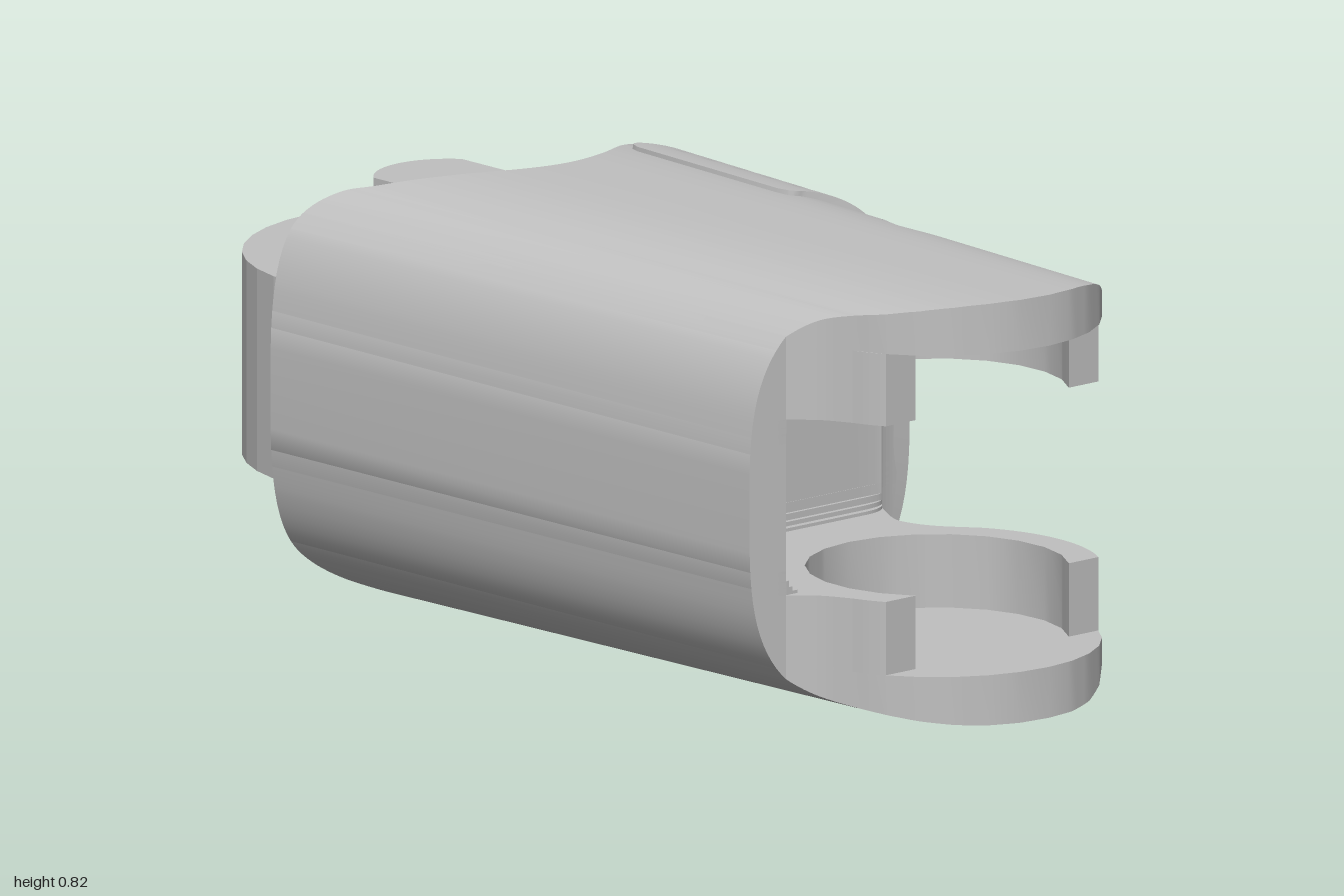
import * as THREE from 'three';
import { toCreasedNormals } from 'three/addons/utils/BufferGeometryUtils.js';

const MID = 0.41, POW = 3.3, LEFT = 0.44;
const rightHalf = z => 0.375 + 0.085 * (0.18 - z);      // right half-width tapers to the front
const halfHeight = z => 0.408 - 0.01 * (z + 0.3);       // and so, slightly, does the height
const toU = (x, z) => x < 0 ? Math.max(-1, x / LEFT) : Math.min(1, x / rightHalf(z));
const toX = (u, z) => u < 0 ? u * LEFT : u * rightHalf(z);
const rise = (u, z) => halfHeight(z) * Math.pow(Math.max(0, 1 - Math.pow(Math.abs(u), POW)), 1 / POW);
const v2 = list => list.map(([x, y]) => new THREE.Vector2(x, y));

function finish(positions) {
  const geo = new THREE.BufferGeometry();
  geo.setAttribute('position', new THREE.Float32BufferAttribute(positions, 3));
  return toCreasedNormals(geo, 0.5);
}

// Plan outline (x, z) of the housing at one level: 'skin', 'ring' or 'core'.
// In the core, inset narrows the slot to round its edges.
function plan(level, inset = 0) {
  const p = new THREE.Path();
  p.moveTo(-0.44, -0.62);
  p.splineThru(v2([[-0.38, -0.615], [-0.32, -0.56], [-0.28, -0.49], [-0.2, -0.4], [-0.1, -0.33], [0, -0.305],
    [0.1, -0.32], [0.2, -0.37], [0.27, -0.395], [0.34, -0.355], [0.43, -0.28]]));
  p.lineTo(0.42, 0.178);
  const neck = [[0.36, 0.18], [0.31, 0.195], [0.26, 0.24], [0.225, 0.3]];
  if (level === 'core') {
    const z = 0.297 + inset, x = -0.36 + inset;
    p.splineThru(v2(neck));
    p.quadraticCurveTo(0.21, z, 0.16, z);
    p.lineTo(x + 0.05, z);
    p.quadraticCurveTo(x, z, x, z + 0.05);
    p.lineTo(x, 0.69);
    p.lineTo(-0.36, 0.69);
  } else {
    p.splineThru(v2([...neck, [0.187, 0.37], [0.18, 0.41], [0.2, 0.47], [0.2525, 0.538]]));
    if (level === 'ring') {
      p.absarc(0, 0.7, 0.3, -0.57, Math.PI / 6, false);
      p.absarc(0, 0.7, 0.24, 0.675, Math.PI - 0.675, true);
      p.absarc(0, 0.7, 0.3, Math.PI * 5 / 6, 2.835, false);
    } else p.absarc(0, 0.7, 0.3, -0.57, 2.835, false);
    p.splineThru(v2([[-0.315, 0.735], [-0.36, 0.69]]));
  }
  p.lineTo(-0.44, 0.68);
  return p.getPoints(8).map(q => new THREE.Vector2(toU(q.x, q.y), q.y));
}

// Keep the part of a polygon on one side of u = limit
function clip(poly, limit, side) {
  const out = [];
  poly.forEach((a, i) => {
    const b = poly[(i + 1) % poly.length];
    const da = (a.x - limit) * side, db = (b.x - limit) * side;
    if (da >= 0) out.push(a);
    if (da * db < 0) {
      const c = a.clone().lerp(b, da / (da - db));
      c.x = limit;
      out.push(c);
    }
  });
  return out.filter((a, i) => a.distanceTo(out[(i + 1) % out.length]) > 1e-6);
}

// Slice of the rounded housing between two heights
function slab(poly, y0, y1) {
  const pos = [], steps = 52;
  const fit = (y, p) => THREE.MathUtils.clamp(y, MID - rise(p.x, p.y), MID + rise(p.x, p.y));
  const at = (p, y) => new THREE.Vector3(toX(p.x, p.y), fit(y, p), p.y);
  const tri = (a, b, c) => {
    const n = b.clone().sub(a).cross(c.clone().sub(a));
    if (n.length() > 1e-10) for (const v of [a, b, c]) pos.push(v.x, v.y, v.z);
  };
  const cuts = Array.from({ length: steps + 1 }, (_, i) => {
    const c = -Math.cos(Math.PI * i / steps);
    return i === steps / 2 ? 0 : Math.sign(c) * Math.pow(Math.abs(c), 2 / POW);
  });
  for (let i = 0; i < steps; i++) {
    const lo = cuts[i], hi = cuts[i + 1];
    const strip = clip(clip(poly, lo, 1), hi, -1);
    if (strip.length < 3) continue;
    for (const f of THREE.ShapeUtils.triangulateShape(strip.slice(), [])) {
      let [a, b, c] = f.map(k => strip[k]);
      // no caps where the slice has no thickness
      if ([a, b, c].every(p => fit(y1, p) - fit(y0, p) < 1e-6)) continue;
      if ((b.x - a.x) * (c.y - a.y) - (b.y - a.y) * (c.x - a.x) > 0) [b, c] = [c, b];
      tri(at(a, y1), at(b, y1), at(c, y1));
      tri(at(a, y0), at(c, y0), at(b, y0));
    }
    strip.forEach((p, k) => {
      const q = strip[(k + 1) % strip.length];
      if ([lo, hi].some(e => Math.abs(p.x - e) < 1e-7 && Math.abs(q.x - e) < 1e-7)) return;
      tri(at(p, y0), at(p, y1), at(q, y1));
      tri(at(p, y0), at(q, y1), at(q, y0));
    });
  }
  return finish(pos);
}

// Raised strip wrapping the right flank; f0..f1 is its share of the pad's width
function band(t0, t1, f0, f1) {
  const n = Math.max(8, Math.round((t1 - t0) * 18)), rows = [], pos = [];
  for (let i = 0; i <= n; i++) {
    const t = t0 + (t1 - t0) * i / n, c = Math.cos(t), s = Math.sin(t);
    const u = Math.pow(c, 2 / POW), v = Math.sign(s) * Math.pow(Math.abs(s), 2 / POW);
    const k = THREE.MathUtils.clamp((u - 0.5) / 0.5, 0, 1);
    const over = THREE.MathUtils.clamp((Math.abs(t) - 1.26) / 0.07, 0, 1);
    const trim = 0.07 * (1 - Math.sqrt(1 - over * over));   // rounds the pad's corners
    const zAt = f => THREE.MathUtils.lerp(-0.34 + 0.46 * f, -0.27 + 0.45 * f, k);
    const nx = Math.pow(u, POW - 1), ny = Math.sign(v) * Math.pow(Math.abs(v), POW - 1);
    const len = Math.hypot(nx, ny), out = 0.002 + 0.025 * c;
    rows.push([[-0.012, f0], [out, f0], [out, f1], [-0.012, f1]].map(([d, f]) => {
      const z = zAt(THREE.MathUtils.clamp(f, trim, 1 - trim));
      return [u * rightHalf(z) + d * nx / len, MID + halfHeight(z) * v + d * ny / len, z];
    }));
  }
  const quad = (a, b, c, d) => pos.push(...a, ...b, ...c, ...a, ...c, ...d);
  for (let i = 0; i < n; i++) for (let k = 0; k < 4; k++) {
    const q = (k + 1) % 4;
    quad(rows[i][k], rows[i + 1][k], rows[i + 1][q], rows[i][q]);
  }
  quad(...rows[0]);
  quad(...rows[n].slice().reverse());
  return finish(pos);
}

// Straight prism from a plan outline drawn as (x, -z)
function prism(shape, y0, y1) {
  return new THREE.ExtrudeGeometry(shape, { depth: y1 - y0, bevelEnabled: false, curveSegments: 9 })
    .rotateX(-Math.PI / 2).translate(0, y0, 0);
}

export function createModel() {
  const model = new THREE.Group();
  const grey = new THREE.MeshStandardMaterial({ color: 0xc0c0c0 });
  grey.name = 'plain grey';
  const add = (name, geo, parent = model) => {
    const mesh = new THREE.Mesh(geo, grey);
    mesh.name = name;
    parent.add(mesh);
  };

  // Housing: outer skins, socket rings and slotted core
  const housing = new THREE.Group();
  housing.name = 'housing';
  model.add(housing);
  add('lowerSkin', slab(plan('skin'), 0, 0.11), housing);
  add('lowerSocket', slab(plan('ring'), 0.11, 0.247), housing);
  add('upperSocket', slab(plan('ring'), 0.575, 0.71), housing);
  add('upperSkin', slab(plan('skin'), 0.71, 0.83), housing);

  // Core in thin steps at the slot's floor and roof, which round its edges
  const depths = [0, 0.006, 0.014, 0.026, 0.045], r = 0.045;
  for (let i = 0; i < 4; i++) {
    const d = (depths[i] + depths[i + 1]) / 2;
    const outline = plan('core', r - Math.sqrt(r * r - (r - d) ** 2));
    add('slotFloorEdge', slab(outline, 0.247 + depths[i], 0.247 + depths[i + 1]), housing);
    add('slotRoofEdge', slab(outline, 0.575 - depths[i + 1], 0.575 - depths[i]), housing);
  }
  add('core', slab(plan('core'), 0.247 + r, 0.575 - r), housing);

  // Ribbed grip pad with five slots
  const grip = new THREE.Group();
  grip.name = 'gripPad';
  model.add(grip);
  const slots = [0.14, 0.32, 0.5, 0.68, 0.86], w = 0.03;
  for (let i = 0; i <= 5; i++) {
    add('gripRib', band(-1.17, 1.17, i ? slots[i - 1] + w : 0, i < 5 ? slots[i] - w : 1), grip);
  }
  add('gripUpperEnd', band(1.17, 1.33, 0, 1), grip);
  add('gripLowerEnd', band(-1.33, -1.17, 0, 1), grip);

  // Rear knuckle, flaring into the housing on its left flank
  const knuckle = new THREE.Shape();
  knuckle.moveTo(0.3, 0.25);
  knuckle.lineTo(0.405, 0.295);
  knuckle.quadraticCurveTo(0.374, 0.325, 0.374, 0.39);
  knuckle.lineTo(0.374, 0.62);
  knuckle.absarc(0, 0.62, 0.379, 0, Math.PI, false);
  knuckle.lineTo(-0.376, 0.25);
  add('knuckle', prism(knuckle, 0.22, 0.598));

  // Hinge pin with two flats
  const pin = new THREE.Shape(), e = Math.acos(0.108 / 0.137);
  pin.absarc(0, 0.625, 0.137, e, Math.PI - e, false);
  pin.absarc(0, 0.625, 0.137, Math.PI + e, Math.PI * 2 - e, false);
  add('hingePin', prism(pin, 0.085, 0.735));

  // Stop block above the knuckle
  const stop = new THREE.Shape(v2([[-0.17, 0.34], [-0.13, 0.415], [-0.225, 0.5], [-0.3, 0.48]]));
  add('stopBlock', prism(stop, 0.59, 0.71));
  return model;
}
